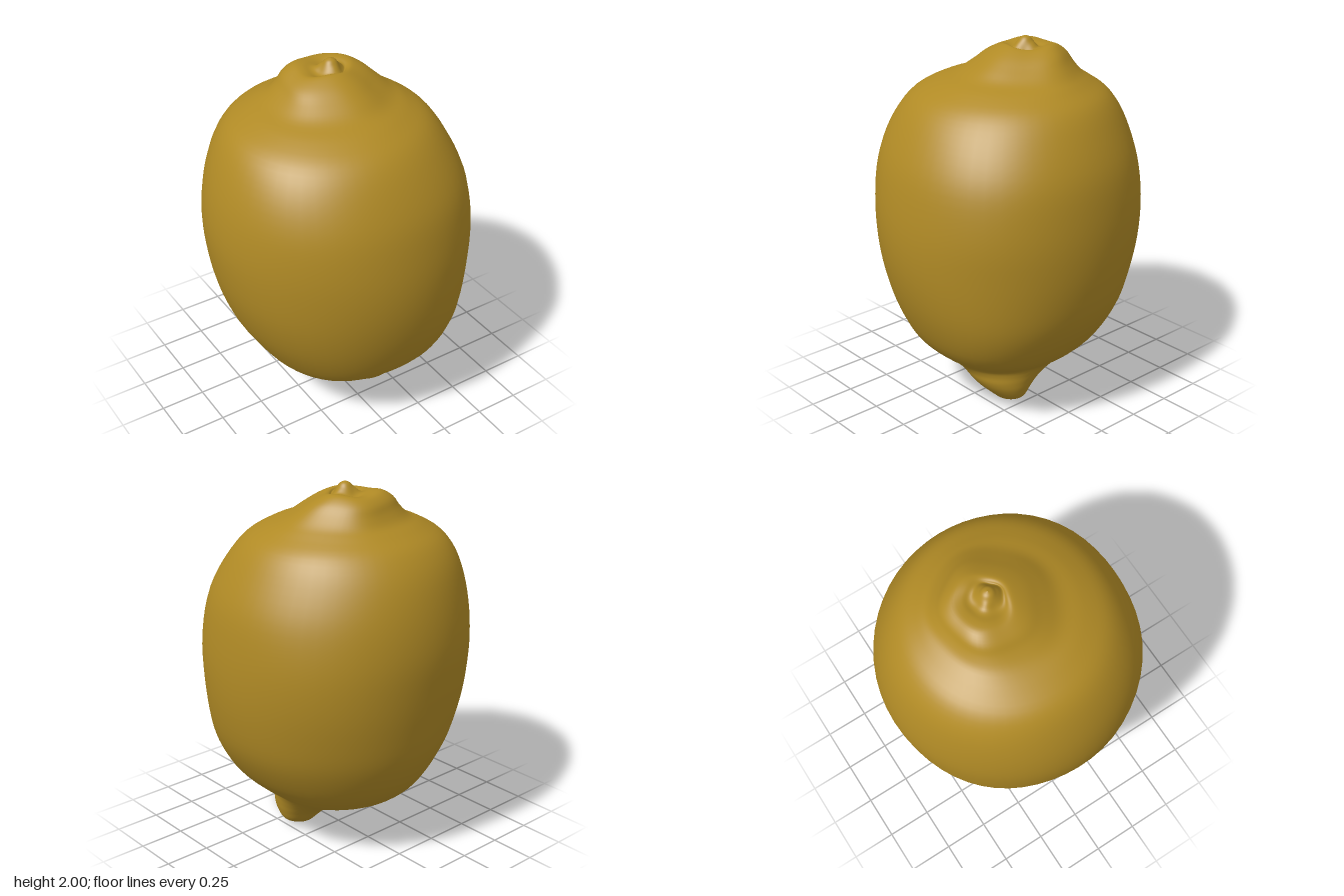
import * as THREE from 'three';

// Cross-sections from bottom to top: y, x min, x max, z min, z max
const SECTIONS = [
  [0.0, 0.139, 0.141, 0.139, 0.141],
  [0.012, 0.085, 0.2, 0.1, 0.185],
  [0.05, 0.03, 0.27, 0.06, 0.23],
  [0.11, -0.04, 0.298, 0.0, 0.29],
  [0.16, -0.1, 0.31, -0.08, 0.325],
  [0.205, -0.19, 0.325, -0.19, 0.345],
  [0.25, -0.31, 0.355, -0.33, 0.385],
  [0.31, -0.4, 0.43, -0.43, 0.455],
  [0.42, -0.485, 0.53, -0.53, 0.56],
  [0.6, -0.59, 0.63, -0.62, 0.64],
  [0.8, -0.66, 0.685, -0.67, 0.69],
  [1.0, -0.695, 0.71, -0.7, 0.71],
  [1.2, -0.705, 0.705, -0.71, 0.7],
  [1.4, -0.68, 0.67, -0.685, 0.66],
  [1.58, -0.62, 0.59, -0.63, 0.575],
  [1.7, -0.54, 0.51, -0.55, 0.48],
  [1.77, -0.42, 0.41, -0.45, 0.36],
  [1.81, -0.32, 0.345, -0.385, 0.25],
  [1.86, -0.25, 0.285, -0.345, 0.17],
  [1.91, -0.2, 0.23, -0.315, 0.09],
  [1.943, -0.14, 0.175, -0.27, 0.02],
  [1.945, -0.1, 0.14, -0.22, -0.005],
  [1.935, -0.06, 0.115, -0.185, -0.015],
  [1.94, -0.035, 0.1, -0.16, -0.025],
  [1.965, -0.01, 0.078, -0.135, -0.045],
  [1.988, 0.01, 0.06, -0.115, -0.065],
  [1.998, 0.034, 0.036, -0.091, -0.089],
];

const SIDES = 56;
const STEPS = 4;
const { smoothstep } = THREE.MathUtils;

// Bulge of 1 towards the given angle, fading out to its sides
const lobe = (a, centre) => Math.max(0, Math.cos(a - centre)) ** 6;

// Smooth loft through the off-centre oval sections, with gentle unevenness
function peelGeometry() {
  const curve = (lo, hi) => new THREE.CatmullRomCurve3(
    SECTIONS.map((s) => new THREE.Vector3(s[lo], s[0], s[hi])), false, 'catmullrom', 0.5);
  const xs = curve(1, 2);
  const zs = curve(3, 4);
  const rows = (SECTIONS.length - 1) * STEPS;
  const positions = [];
  const index = [];

  for (let i = 0; i <= rows; i++) {
    const px = xs.getPoint(i / rows);
    const pz = zs.getPoint(i / rows);
    const y = Math.max(0, px.y);
    const crown = smoothstep(y, 1.72, 1.9) * (1 - smoothstep(y, 1.945, 1.98));
    const body = smoothstep(y, 0.22, 0.36) * (1 - smoothstep(y, 1.5, 1.85));
    const low = 1 - smoothstep(y, 0.35, 1.0);
    for (let j = 0; j < SIDES; j++) {
      const a = (j / SIDES) * Math.PI * 2;
      const wobble = 1
        + body * (0.004 * Math.sin(3 * a + 4 * y) + 0.003 * Math.sin(5 * a - 7 * y)
          + (0.03 + 0.08 * low) * lobe(a, Math.PI / 4) + 0.018 * lobe(a, Math.PI * 0.75))
        + crown * 0.03 * Math.sin(5 * a + 1);
      const rx = ((px.z - px.x) / 2) * wobble;
      const rz = ((pz.z - pz.x) / 2) * wobble;
      positions.push(
        (px.x + px.z) / 2 + rx * Math.cos(a),
        y + crown * 0.007 * Math.sin(3 * a + 2.5),
        (pz.x + pz.z) / 2 + rz * Math.sin(a));
      if (i < rows) {
        const k = (j + 1) % SIDES;
        const p = i * SIDES + j, q = i * SIDES + k;
        index.push(p, p + SIDES, q, q, p + SIDES, q + SIDES);
      }
    }
  }
  const geometry = new THREE.BufferGeometry();
  geometry.setAttribute('position', new THREE.Float32BufferAttribute(positions, 3));
  geometry.setIndex(index);
  geometry.computeVertexNormals();
  return geometry;
}

export function createModel() {
  const group = new THREE.Group();
  group.name = 'lemon';
  const peelMaterial = new THREE.MeshStandardMaterial({ color: 0xb08a25 });
  peelMaterial.name = 'lemon yellow';

  // Fruit body with the crooked lower tip, puckered crown and stem bud
  const peel = new THREE.Mesh(peelGeometry(), peelMaterial);
  peel.name = 'peel';
  group.add(peel);

  return group;
}
